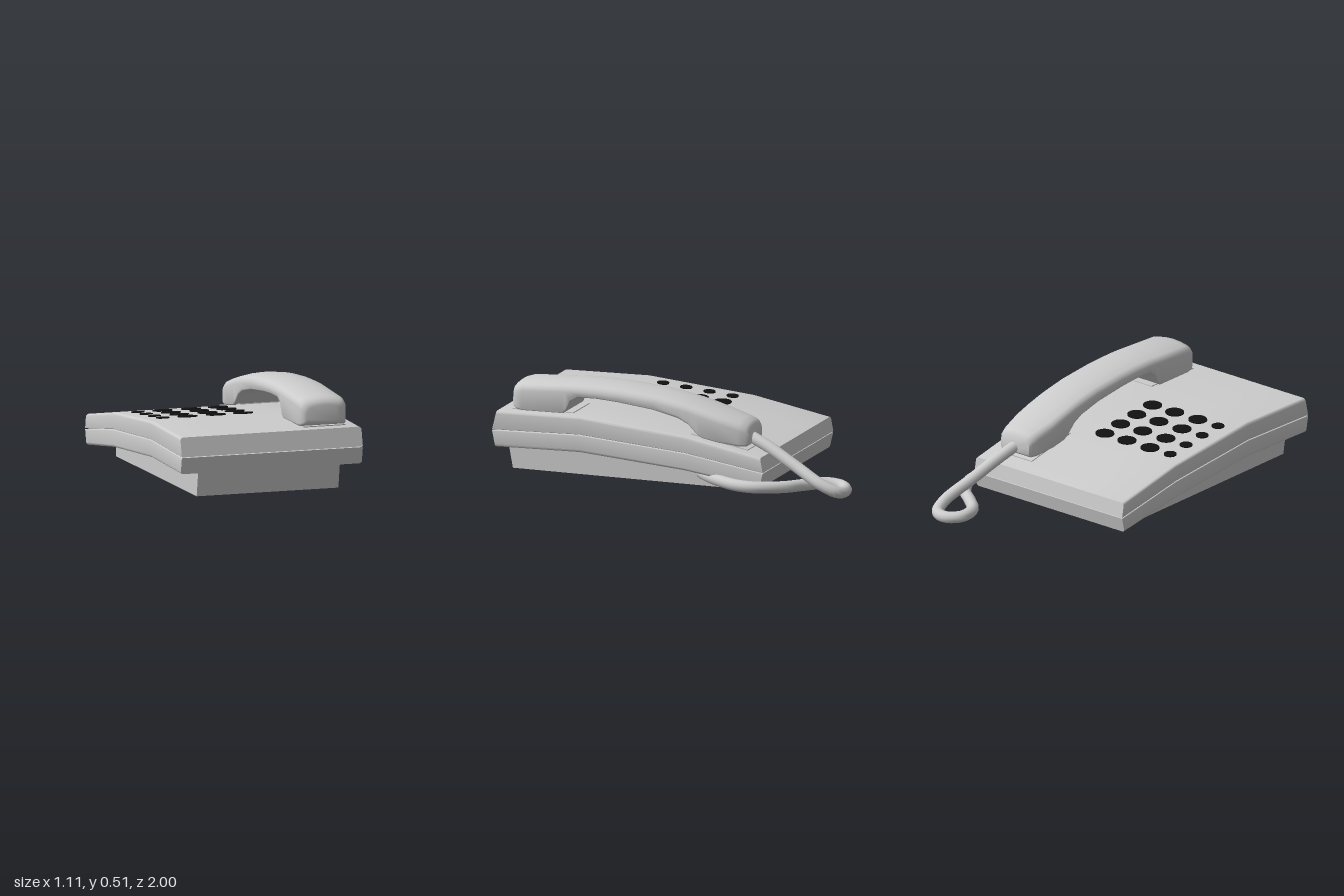
import * as THREE from 'three';
import { toCreasedNormals } from 'three/addons/utils/BufferGeometryUtils.js';

// Loft rounded-rectangle sections from front (+z) to back.
// Each section: zb/zt = z at its bottom/top, yb/yt = heights, x0/x1 = sides.
function loft(sections, { rt, rb, crown = 0, crease = 0.5, seg = 4 }) {
  const pos = [], index = [];
  const n = 4 * (seg + 1) + 3;
  for (const { zb, zt, yb, yt, x0, x1 } of sections) {
    const mid = (x0 + x1) / 2, hw = (x1 - x0) / 2, top = yt - crown;
    const ring = [];
    const corner = (cx, cy, r, start) => {
      for (let k = 0; k <= seg; k++) {
        const a = start + (k / seg) * Math.PI / 2;
        ring.push([cx + r * Math.cos(a), cy + r * Math.sin(a)]);
      }
    };
    corner(x1 - rb, yb + rb, rb, -Math.PI / 2);
    corner(x1 - rt, top - rt, rt, 0);
    for (const u of [0.4, 0, -0.4]) ring.push([mid + u * hw, top]);
    corner(x0 + rt, top - rt, rt, Math.PI / 2);
    corner(x0 + rb, yb + rb, rb, Math.PI);
    for (const [x, y] of ring) {
      const t = (y - yb) / (top - yb), u = (x - mid) / hw;
      pos.push(x, y + crown * (1 - u * u) * Math.max(0, t * 2 - 1), zb + (zt - zb) * t);
    }
  }
  const m = sections.length;
  for (let i = 0; i < m - 1; i++) for (let j = 0; j < n; j++) {
    const a = i * n + j, b = i * n + (j + 1) % n, c = a + n, d = b + n;
    index.push(a, c, b, b, c, d);
  }
  for (let j = 1; j < n - 1; j++) {
    index.push(0, j, j + 1);
    const e = (m - 1) * n;
    index.push(e, e + j + 1, e + j);
  }
  const g = new THREE.BufferGeometry();
  g.setAttribute('position', new THREE.Float32BufferAttribute(pos, 3));
  g.setIndex(index);
  return toCreasedNormals(g, crease);
}

// Height of the sloping top face at a given z
const TOP = [[0.975, 0.332], [0.5, 0.342], [-0.1, 0.288], [-0.535, 0.207]];
function topAt(z) {
  let i = 0;
  while (i < 2 && z < TOP[i + 1][0]) i++;
  const [z0, y0] = TOP[i], [z1, y1] = TOP[i + 1];
  return y0 + (y1 - y0) * (z - z0) / (z1 - z0);
}

export function createModel() {
  const phone = new THREE.Group();
  phone.name = 'deskTelephone';
  const plastic = new THREE.MeshStandardMaterial({ color: 0xcccccc });
  plastic.name = 'lightGreyPlastic';
  const black = new THREE.MeshStandardMaterial({ color: 0x111111 });
  black.name = 'blackButton';
  const add = (name, geometry, material = plastic, parent = phone) => {
    const mesh = new THREE.Mesh(geometry, material);
    mesh.name = name;
    parent.add(mesh);
    return mesh;
  };

  // Upper and lower halves of the case, meeting at a fine seam
  const side = { x0: -0.555, x1: 0.467 };
  const seam = [[1, 0.227], [0.5, 0.242], [-0.1, 0.196], [-0.55, 0.125]];
  const under = [[0.982, 0.135], [0.5, 0.146], [-0.1, 0.1], [-0.53, 0.04]];
  add('upperCase', loft(seam.map(([z, y], i) => ({
    zb: z, zt: TOP[i][0], yb: y + 0.002, yt: TOP[i][1], ...side })), { rt: 0.016, rb: 0.003 }));
  add('lowerCase', loft(seam.map(([z, y], i) => ({
    zb: under[i][0], zt: z, yb: under[i][1], yt: y - 0.002, ...side })), { rt: 0.003, rb: 0.014 }));

  // Base with a leaning front, tucked into the case
  const baseShape = new THREE.Shape([[0.925, 0], [0.952, 0.15], [0.5, 0.16], [-0.1, 0.115], [-0.37, 0.08], [-0.37, 0]]
    .map(([z, y]) => new THREE.Vector2(-z, y)));
  const base = new THREE.ExtrudeGeometry(baseShape, { depth: 0.8, bevelEnabled: false });
  base.rotateY(Math.PI / 2).translate(-0.445, 0, 0);
  add('base', base);

  // Thin rests under both ends of the handset
  for (const [name, z0, z1] of [['frontRest', 0.91, 0.56], ['rearRest', -0.11, -0.44]]) {
    const z = (z0 + z1) / 2;
    const rest = add(name, new THREE.BoxGeometry(0.235, 0.008, z0 - z1), plastic);
    rest.position.set(0.282, topAt(z) + 0.001, z);
    rest.rotation.x = Math.atan2(topAt(z1) - topAt(z0), z0 - z1);
  }

  // Handset: z, underside, top, half width
  const handset = [
    [0.912, 0.36, 0.45, 0.1], [0.905, 0.347, 0.468, 0.116], [0.885, 0.337, 0.483, 0.128],
    [0.85, 0.333, 0.494, 0.133], [0.62, 0.335, 0.507, 0.134], [0.6, 0.35, 0.508, 0.134],
    [0.575, 0.405, 0.51, 0.134], [0.53, 0.432, 0.512, 0.134], [0.42, 0.433, 0.512, 0.134],
    [0.3, 0.425, 0.508, 0.134], [0.1, 0.402, 0.492, 0.134], [-0.04, 0.37, 0.469, 0.134],
    [-0.1, 0.34, 0.457, 0.134], [-0.15, 0.29, 0.444, 0.134], [-0.18, 0.272, 0.437, 0.134],
    [-0.27, 0.255, 0.412, 0.132], [-0.38, 0.239, 0.381, 0.117], [-0.42, 0.24, 0.366, 0.107],
    [-0.435, 0.252, 0.35, 0.097],
  ].map(([z, yb, yt, w]) => ({ zb: z, zt: z, yb, yt, x0: 0.282 - w, x1: 0.282 + w }));
  add('handset', loft(handset, { rt: 0.03, rb: 0.014, crown: 0.022, crease: 0.8 }));

  // Cord looping behind the phone and back underneath
  const path = new THREE.CatmullRomCurve3([
    [0.29, 0.285, -0.4], [0.32, 0.235, -0.53], [0.365, 0.155, -0.7], [0.41, 0.075, -0.87],
    [0.39, 0.04, -0.95], [0.32, 0.036, -0.968], [0.25, 0.042, -0.92], [0.25, 0.05, -0.83],
    [0.34, 0.052, -0.74], [0.44, 0.055, -0.66], [0.515, 0.058, -0.53], [0.515, 0.06, -0.42],
    [0.46, 0.065, -0.29], [0.4, 0.07, -0.2], [0.345, 0.07, -0.15],
  ].map((p) => new THREE.Vector3(...p)));
  add('cord', new THREE.TubeGeometry(path, 90, 0.032, 12));

  // Keypad: a narrow column of small buttons and three of large ones
  const keypad = new THREE.Group();
  keypad.name = 'keypad';
  phone.add(keypad);
  const slope = Math.atan2(topAt(0) - topAt(0.4), 0.4);
  for (const z of [-0.017, 0.115, 0.249, 0.381]) {
    for (const [x, rx, rz] of [[-0.445, 0.036, 0.032], [-0.305, 0.054, 0.046], [-0.145, 0.054, 0.046], [0.008, 0.054, 0.046]]) {
      const button = add('button', new THREE.CylinderGeometry(1, 1, 0.009, 24), black, keypad);
      button.scale.set(rx, 1, rz);
      button.position.set(x, topAt(z) + 0.001, z);
      button.rotation.x = slope;
    }
  }
  return phone;
}
